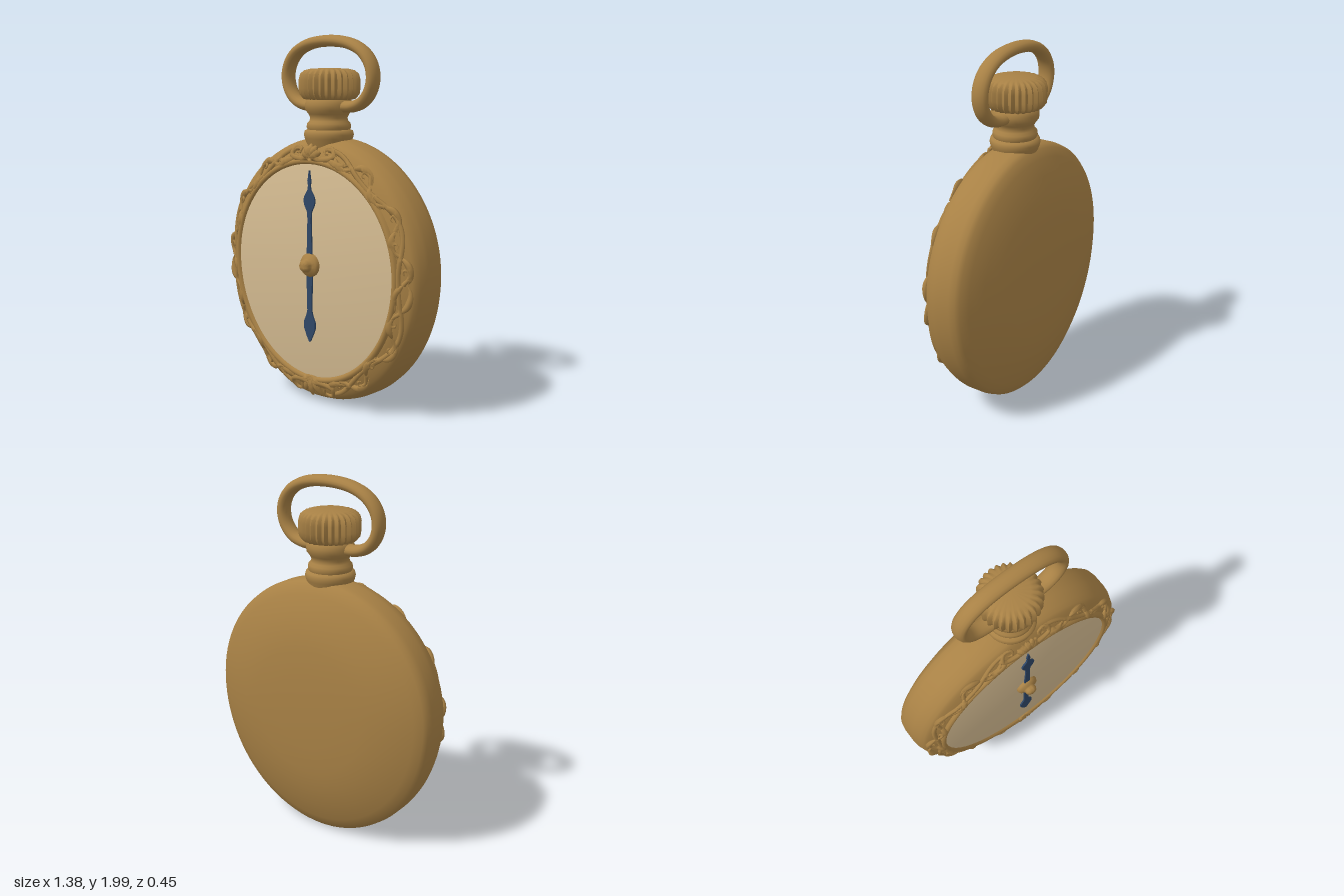
import * as THREE from 'three';
import { mergeGeometries, mergeVertices, toCreasedNormals } from 'three/addons/utils/BufferGeometryUtils.js';

const gold = new THREE.MeshStandardMaterial({ color: 0xa88145 });
gold.name = 'antique gold';
const cream = new THREE.MeshStandardMaterial({ color: 0xd4bb91 });
cream.name = 'cream dial';
const blue = new THREE.MeshStandardMaterial({ color: 0x2f4767 });
blue.name = 'blued steel';

const CX = 0.692, CY = 0.77, TOP = 0.69, BOTTOM = 0.76;
const v2 = ([x, y]) => new THREE.Vector2(x, y);

// move every vertex by a rule
function warp(geometry, rule) {
  const p = geometry.attributes.position, v = new THREE.Vector3();
  for (let i = 0; i < p.count; i++) {
    rule(v.fromBufferAttribute(p, i), i);
    p.setXYZ(i, v.x, v.y, v.z);
  }
  return geometry;
}

// weld seams, then smooth everything below the crease angle
function smooth(geometry, crease = 0.7) {
  geometry.deleteAttribute('uv');
  geometry.deleteAttribute('normal');
  return toCreasedNormals(mergeVertices(geometry, 1e-5), crease);
}

// unit-radius profile [r, z] spun around z and fitted to the slightly egg-shaped case outline
function caseLathe(profile, crease) {
  const g = new THREE.LatheGeometry(profile.map(v2), 96).rotateX(Math.PI / 2);
  warp(g, v => v.set(v.x * CX, CY + v.y * (v.y > 0 ? TOP : BOTTOM), v.z));
  return smooth(g, crease);
}

// point on the bezel: angle from the top, relative radius, lift above the surface
function onBezel(side, a, r, lift = 0) {
  const c = Math.cos(a);
  const z = 0.146 - Math.max(0, r - 0.87) * 0.42 + lift;
  return new THREE.Vector3(side * CX * r * Math.sin(a), CY + r * c * (c > 0 ? TOP : BOTTOM), z);
}

// relief strand: a tube whose width follows a taper rule and which is pressed flat in z
function strand(points, width, taper, steps = 16) {
  const curve = new THREE.CatmullRomCurve3(points), sides = 6;
  const g = new THREE.TubeGeometry(curve, steps, width, sides);
  const c = new THREE.Vector3();
  return warp(g, (v, i) => {
    const t = Math.floor(i / (sides + 1)) / steps;
    curve.getPointAt(t, c);
    const k = Math.max(0.04, taper(t));
    v.sub(c).multiplyScalar(k);
    v.z *= 0.8;
    v.add(c);
  });
}
const leafTaper = t => Math.sin(Math.PI * Math.pow(t, 0.7));
const curlTaper = t => 1 - 0.65 * t;

function bezelOrnament() {
  const parts = [];
  for (const side of [-1, 1]) {
    const at = (a, r, l) => onBezel(side, a, r, l);
    // wavy vine from the top cluster to the bottom palmette
    const vine = [];
    for (let i = 0; i <= 40; i++) {
      const a = 0.16 + i / 40 * 2.75;
      vine.push(at(a, 0.89 + 0.04 * Math.sin(a * 7)));
    }
    parts.push(strand(vine, 0.014, () => 1, 120));
    // leaves and curls branching to alternate sides
    for (let i = 0; i < 12; i++) {
      const a = 0.26 + i * 0.222, s = i % 2 ? 1 : -1, d = a < 1.6 ? 1 : -1;
      parts.push(strand([at(a, 0.89), at(a + d * 0.07, 0.89 + s * 0.045, 0.008),
        at(a + d * 0.16, 0.89 + s * 0.052, 0.004), at(a + d * 0.23, 0.89 + s * 0.025)], 0.019, leafTaper));
      parts.push(strand([at(a, 0.89), at(a - d * 0.06, 0.89 - s * 0.04, 0.006),
        at(a - d * 0.12, 0.89 - s * 0.03, 0.008), at(a - d * 0.11, 0.89 - s * 0.005, 0.006),
        at(a - d * 0.075, 0.89 - s * 0.012, 0.006)], 0.013, curlTaper));
    }
    // scrolls beside the top cluster and the palmette
    for (const [base, d] of [[0, 1], [Math.PI, -1]]) {
      parts.push(strand([at(base + d * 0.02, 0.85, 0.008), at(base + d * 0.12, 0.845, 0.008),
        at(base + d * 0.24, 0.89, 0.008), at(base + d * 0.2, 0.945, 0.008),
        at(base + d * 0.13, 0.925, 0.008), at(base + d * 0.15, 0.89, 0.008)], 0.02, curlTaper, 24));
      parts.push(strand([at(base + d * 0.2, 0.86), at(base + d * 0.32, 0.85, 0.006),
        at(base + d * 0.44, 0.9)], 0.022, leafTaper));
    }
  }
  // fans of lobes at the top and the bottom
  for (const [y, up, len, z] of [[1.36, 1, 0.07, 0.162], [0.16, -1, 0.11, 0.155]]) {
    for (let i = -2; i <= 2; i++) {
      const a = i * 0.55, p = k => new THREE.Vector3(
        Math.sin(a) * len * k, y + up * Math.cos(a) * len * k, z - k * k * 0.018);
      parts.push(strand([p(0), p(0.5), p(1)], 0.023, t => 0.35 + 0.65 * Math.sin(Math.PI * t)));
    }
  }
  return smooth(mergeGeometries(parts), 1.2);
}

export function createModel() {
  const model = new THREE.Group();
  model.name = 'pocketWatch';
  const add = (name, geometry, material = gold) => {
    const mesh = new THREE.Mesh(geometry, material);
    mesh.name = name;
    model.add(mesh);
    return mesh;
  };

  // domed back, rounded band and front bezel with a raised inner rim
  add('case', caseLathe([[0, -0.222], [0.3, -0.218], [0.5, -0.208], [0.64, -0.193], [0.78, -0.165],
    [0.9, -0.132], [0.965, -0.108], [0.99, -0.088], [1, -0.055], [1, 0.02], [0.995, 0.045], [0.98, 0.075],
    [0.965, 0.1], [0.945, 0.113], [0.92, 0.122], [0.88, 0.138], [0.852, 0.144],
    [0.845, 0.156], [0.835, 0.164], [0.82, 0.165], [0.808, 0.16], [0.797, 0.145]], 0.8));
  add('bezelOrnament', bezelOrnament());

  // dial plate
  add('dial', caseLathe([[0.812, 0.15], [0.79, 0.154], [0, 0.156]]), cream);

  // both hands share one outline, mirrored about the centre line
  const half = [[0.002, 1.29], [0.008, 1.25], [0.012, 1.235], [0.007, 1.21], [0.012, 1.185], [0.036, 1.15],
    [0.041, 1.125], [0.033, 1.1], [0.016, 1.07], [0.012, 1.03], [0.018, 0.85], [0.02, 0.71],
    [0.015, 0.53], [0.022, 0.505], [0.04, 0.465], [0.04, 0.43], [0.02, 0.385], [0.003, 0.355]];
  const outline = [...half, ...half.map(([x, y]) => [-x, y]).reverse()];
  const hands = new THREE.ExtrudeGeometry(new THREE.Shape(outline.map(v2)), { depth: 0.009, bevelEnabled: false });
  add('hands', hands.translate(0, 0, 0.159), blue);

  // centre cap
  const cap = [[0.064, 0.15], [0.064, 0.168], [0.056, 0.18], [0.04, 0.186], [0.034, 0.192],
    [0.034, 0.205], [0.026, 0.218], [0.012, 0.224], [0, 0.225]];
  add('centreCap', smooth(new THREE.LatheGeometry(cap.map(v2), 32).rotateX(Math.PI / 2), 0.9))
    .position.set(0, 0.78, 0);

  // stepped neck
  const neck = [[0.11, 1.4], [0.13, 1.455], [0.135, 1.475], [0.13, 1.495], [0.115, 1.502], [0.12, 1.515],
    [0.117, 1.535], [0.104, 1.548], [0.1, 1.565], [0.11, 1.585], [0.126, 1.605], [0.129, 1.635],
    [0.12, 1.66], [0.1, 1.675], [0, 1.68]];
  add('neck', smooth(new THREE.LatheGeometry(neck.map(v2), 48), 0.9)).position.z = 0.01;

  // fluted winding crown
  const RIBS = 28;
  const crown = [[0, 1.655], [0.1, 1.655], [0.135, 1.665], [0.154, 1.69], [0.158, 1.72], [0.158, 1.765],
    [0.15, 1.797], [0.13, 1.815], [0.1, 1.824], [0, 1.828]];
  const fluted = warp(new THREE.LatheGeometry(crown.map(v2), RIBS * 6), v => {
    const r = Math.hypot(v.x, v.z);
    const k = 1 + 0.05 * Math.cos(RIBS * Math.atan2(v.x, v.z)) * THREE.MathUtils.smoothstep(r, 0.09, 0.14);
    v.x *= k;
    v.z *= k;
  });
  add('crown', smooth(fluted, 0.9)).position.z = 0.005;

  // oval bow, deeper in z than in its own plane
  const side = [[0.09, 1.625], [0.17, 1.628], [0.235, 1.652], [0.284, 1.705], [0.304, 1.775],
    [0.29, 1.845], [0.24, 1.908], [0.15, 1.952]];
  const bowPath = [...side, [0, 1.97], ...side.map(([x, y]) => [-x, y]).reverse()]
    .map(([x, y]) => new THREE.Vector3(x, y, 0));
  const bow = new THREE.TubeGeometry(new THREE.CatmullRomCurve3(bowPath), 96, 0.031, 16);
  const bowMesh = add('bow', bow.scale(1, 1, 1.5));
  bowMesh.position.set(0.003, 0, 0.01);

  return model;
}
